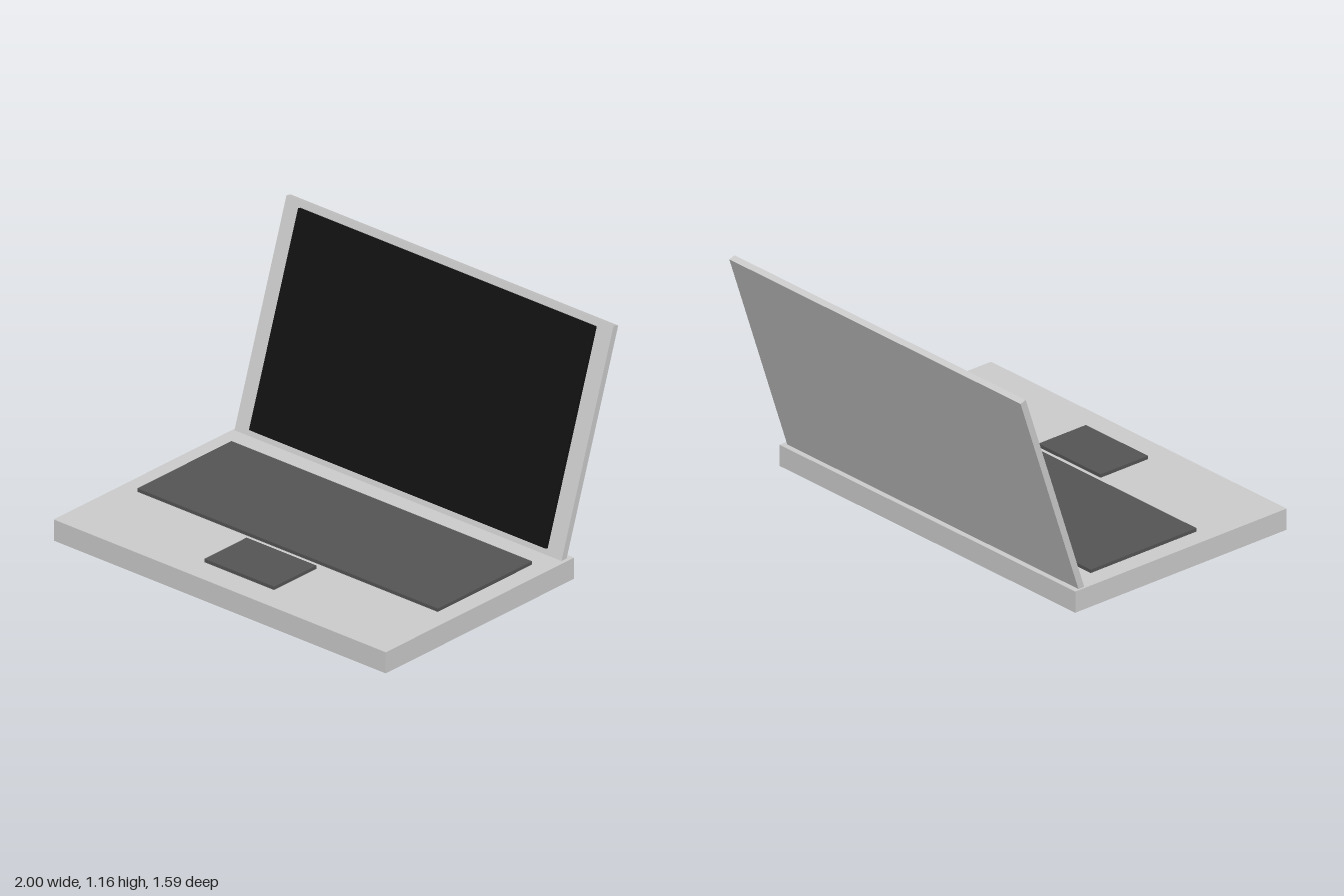
import * as THREE from 'three';

// Box given by its min and max extents on each axis
function slab(name, [x0, x1], [y0, y1], [z0, z1], color = 0xcccccc) {
  const mesh = new THREE.Mesh(
    new THREE.BoxGeometry(x1 - x0, y1 - y0, z1 - z0),
    new THREE.MeshStandardMaterial({ color })
  );
  mesh.position.set((x0 + x1) / 2, (y0 + y1) / 2, (z0 + z1) / 2);
  mesh.name = name;
  return mesh;
}

export function createModel() {
  const laptop = new THREE.Group();
  laptop.name = 'laptop';

  // Lower body with the raised keyboard and trackpad plates
  laptop.add(
    slab('base', [-1, 1], [0, 0.106], [-0.475, 0.797]),
    slab('keyboard', [-0.905, 0.905], [0.1, 0.123], [-0.297, 0.339], 0x555555),
    slab('trackpad', [-0.21, 0.21], [0.1, 0.123], [0.38, 0.665], 0x555555)
  );

  // Lid leaning back from its front lower edge, screen plate on its face
  const lid = new THREE.Group();
  lid.name = 'lid';
  lid.position.set(-0.005, 0.106, -0.412);
  lid.rotation.x = THREE.MathUtils.degToRad(-18.5);
  lid.add(
    slab('lidPanel', [-0.985, 0.985], [-0.02, 1.109], [-0.033, 0]),
    slab('screen', [-0.893, 0.893], [0.03, 1.077], [-0.005, 0.016], 0x111111)
  );
  laptop.add(lid);

  return laptop;
}
